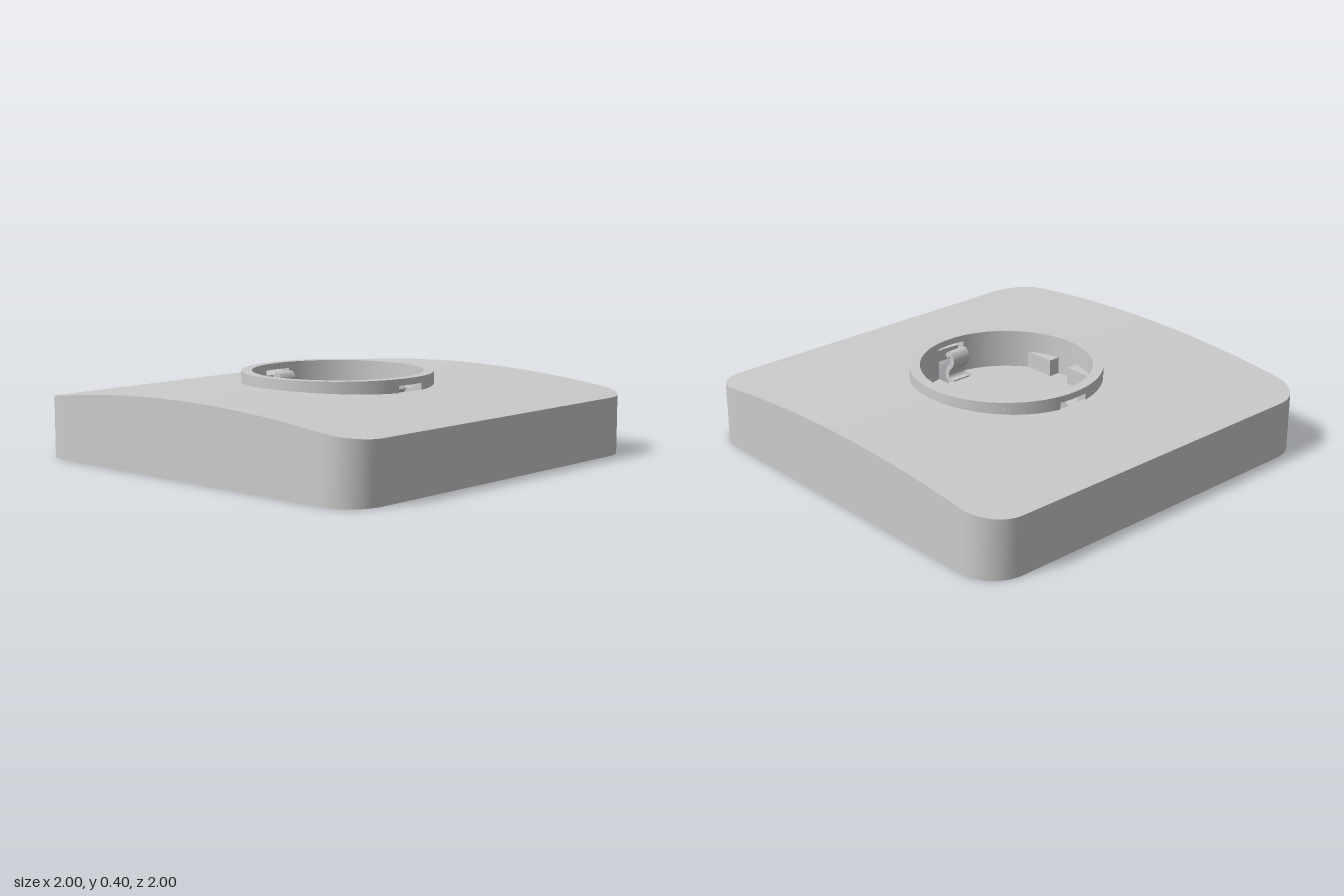
import * as THREE from 'three';
import { toCreasedNormals } from 'three/addons/utils/BufferGeometryUtils.js';

const material = new THREE.MeshStandardMaterial({ color: 0xcccccc });
const OUTER = 0.458, INNER = 0.408, SLOT = 0.08;
const crown = z => 0.355 - 0.075 * z * z; // arched top, constant along x
const underside = z => 0.343 - 0.098 * z * z; // thins towards the middle

function part(name, geometry) {
  const mesh = new THREE.Mesh(toCreasedNormals(geometry, 0.5), material);
  mesh.name = name;
  return mesh;
}

// Horizontal slab between two heights from a plan outline
function slab(name, shape, y0, y1) {
  const g = new THREE.ExtrudeGeometry(shape, { depth: y1 - y0, bevelEnabled: false, curveSegments: 48 });
  g.rotateX(-Math.PI / 2);
  g.translate(0, y0, 0);
  return part(name, g);
}

// Rounded square in plan, with points along the straight sides
function outline(half, r) {
  const pts = [], c = half - r, arc = 10, side = 14;
  for (let q = 0; q < 4; q++) {
    const turn = q * Math.PI / 2;
    const local = [];
    for (let i = 0; i <= arc; i++) {
      const a = i / arc * Math.PI / 2;
      local.push(new THREE.Vector2(c + r * Math.cos(a), c + r * Math.sin(a)));
    }
    for (let i = 1; i < side; i++) local.push(new THREE.Vector2(c - 2 * c * i / side, half));
    local.forEach(p => pts.push(p.rotateAround(new THREE.Vector2(), turn)));
  }
  return pts;
}

// Hollow cover: a section swept around the outline, up the wall,
// in to the central hole and back along the underside
function coverGeometry() {
  const out = outline(1, 0.18), inn = outline(0.96, 0.14);
  const steps = 10, pos = [], index = [];
  let rows = 0;
  out.forEach((o, k) => {
    const i = inn[k];
    const hole = o.clone().setLength(0.45);
    const section = [[o.x, 0, o.y]];
    for (let s = 0; s <= steps; s++) {
      const p = o.clone().lerp(hole, s / steps);
      section.push([p.x, crown(p.y), p.y]);
    }
    for (let s = steps; s >= 0; s--) {
      const p = i.clone().lerp(hole, s / steps);
      section.push([p.x, underside(p.y), p.y]);
    }
    section.push([i.x, 0, i.y]);
    rows = section.length;
    section.forEach(v => pos.push(...v));
  });
  const n = out.length;
  for (let k = 0; k < n; k++) {
    for (let j = 0; j < rows; j++) {
      const k2 = (k + 1) % n, j2 = (j + 1) % rows;
      const a = k * rows + j, b = k2 * rows + j, c = k * rows + j2, d = k2 * rows + j2;
      index.push(a, c, b, b, c, d);
    }
  }
  const g = new THREE.BufferGeometry();
  g.setAttribute('position', new THREE.Float32BufferAttribute(pos, 3));
  g.setIndex(index);
  return g;
}

// Half of the collar, leaving the clip slots open at front and back
function halfCollar(start) {
  const ao = Math.asin(SLOT / OUTER), ai = Math.asin(SLOT / INNER);
  const s = new THREE.Shape();
  s.absarc(0, 0, OUTER, start + ao, start + Math.PI - ao, false);
  s.absarc(0, 0, INNER, start + Math.PI - ai, start + ai, true);
  return s;
}

// Round floor notched under the lugs and at the clips
function floorShape() {
  const R = 0.415;
  const quarter = [[R, 0], [0.41, 0.06], [0.345, 0.06], [0.345, 0.22]];
  const a0 = Math.atan2(0.22, 0.345), a1 = Math.acos(SLOT / R);
  for (let i = 1; i <= 12; i++) {
    const a = a0 + (a1 - a0) * i / 12;
    quarter.push([R * Math.cos(a), R * Math.sin(a)]);
  }
  quarter.push([SLOT, 0.335]);
  const half = [...quarter, ...quarter.slice().reverse().map(([x, y]) => [-x, y])];
  const all = [...half, ...half.slice(1, -1).map(([x, y]) => [-x, -y])];
  return new THREE.Shape(all.map(p => new THREE.Vector2(...p)));
}

// Lug between a flat inner face and the collar wall
function lugShape(sx, sz) {
  const s = [[0.345, 0.06], [0.412, 0.06]];
  for (let i = 1; i <= 8; i++) {
    const z = 0.06 + 0.16 * i / 8;
    s.push([Math.max(0.347, Math.sqrt(0.412 * 0.412 - z * z)), z]);
  }
  s.push([0.345, 0.22]);
  return new THREE.Shape(s.map(([x, z]) => new THREE.Vector2(x * sx, z * sz)));
}

// Springy tongue with a bump that faces the middle
function clipGeometry() {
  const curve = new THREE.SplineCurve([
    [0.325, 0.212], [0.358, 0.214], [0.374, 0.24], [0.364, 0.275],
    [0.338, 0.305], [0.338, 0.335], [0.356, 0.355], [0.378, 0.335],
  ].map(p => new THREE.Vector2(...p)));
  const left = [], right = [], n = 36, w = 0.012;
  for (let i = 0; i <= n; i++) {
    const p = curve.getPoint(i / n), t = curve.getTangent(i / n);
    left.push(new THREE.Vector2(p.x - t.y * w, p.y + t.x * w));
    right.unshift(new THREE.Vector2(p.x + t.y * w, p.y - t.x * w));
  }
  const g = new THREE.ExtrudeGeometry(new THREE.Shape([...left, ...right]), { depth: 0.1, bevelEnabled: false });
  g.translate(0, 0, -0.05);
  g.rotateY(-Math.PI / 2);
  return g;
}

export function createModel() {
  const model = new THREE.Group();
  model.name = 'coverPlate';
  model.add(part('cover', coverGeometry()));

  // Collar: slotted body with a closed rim on top
  const rim = new THREE.Shape().absarc(0, 0, OUTER, 0, Math.PI * 2, false);
  rim.holes.push(new THREE.Path().absarc(0, 0, INNER, 0, Math.PI * 2, true));
  model.add(slab('collarRim', rim, 0.373, 0.404));
  [-Math.PI / 2, Math.PI / 2].forEach((start, i) =>
    model.add(slab(i ? 'collarRight' : 'collarLeft', halfCollar(start), 0.155, 0.373)));

  model.add(slab('collarFloor', floorShape(), 0.203, 0.217));

  for (const sx of [-1, 1]) {
    for (const sz of [-1, 1]) model.add(slab('lug', lugShape(sx, sz), 0.217, 0.3));
  }

  // Clips at front and back
  ['frontClip', 'backClip'].forEach((name, i) => {
    const clip = part(name, clipGeometry());
    clip.rotation.y = i * Math.PI;
    model.add(clip);
  });
  return model;
}
